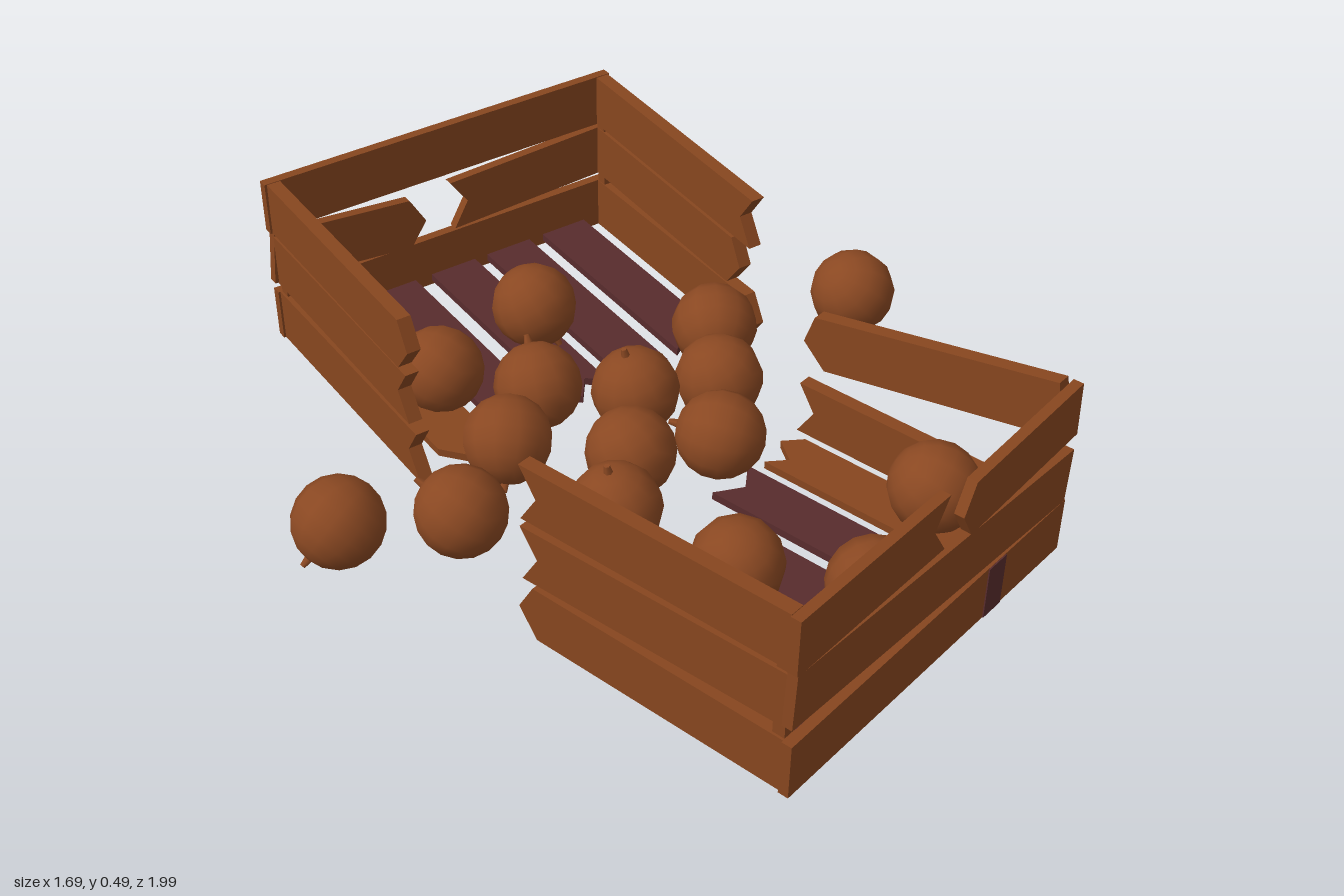
import * as THREE from 'three';

const mat = (name, color, opts = {}) => {
  const m = new THREE.MeshStandardMaterial({ color, ...opts });
  m.name = name;
  return m;
};

// End profiles: offsets along the board, from its lower to its upper edge
const FLAT = [0, 0];
const NOTCH = [0, -0.045, 0];
const POINT = [-0.05, 0, -0.04];
const SPLIT = [-0.02, 0.02, -0.04, 0];

export function createModel() {
  const model = new THREE.Group();
  model.name = 'brokenCrateWithFruit';
  const wood = mat('wood', 0x87461f, { flatShading: true });
  const darkWood = mat('dark wood', 0x582c2d, { flatShading: true });
  const skin = mat('fruit skin', 0x8a4822);

  // A plank running along +x, with a shaped end on each side
  function board(parent, name, material, o) {
    const { len, h = 0.14, t = 0.025, start = FLAT, end = FLAT, pos, yaw = 0, tilt = 0, lay = 0 } = o;
    const side = (cut, x) => cut.map((d, i) => new THREE.Vector2(x + d, h * (i / (cut.length - 1) - 0.5)));
    const shape = new THREE.Shape([...side(end, len), ...side(start, 0).reverse()]);
    const geo = new THREE.ExtrudeGeometry(shape, { depth: t, bevelEnabled: false });
    geo.translate(0, 0, -t / 2);
    const mesh = new THREE.Mesh(geo, material);
    mesh.name = name;
    mesh.position.set(...pos);
    mesh.rotation.set(lay, yaw, tilt, 'YXZ');
    parent.add(mesh);
  }

  // Half crate: end wall at z = 0, side walls and floor running towards -z
  function halfCrate(name, { endBoards, sides, floor }) {
    const g = new THREE.Group();
    g.name = name;
    for (const [x, y, len, tilt, start, end] of endBoards)
      board(g, 'endBoard', wood, { len, start, end, tilt, pos: [x, y, -0.0125] });
    for (const [s, y, len, tilt, end] of sides)
      board(g, 'sideBoard', wood, { len, end, tilt, t: 0.035, yaw: Math.PI / 2, pos: [s * 0.477, y, -0.025] });
    for (const [x, len, end, material] of floor)
      board(g, 'floorPlank', material, {
        len, end, h: 0.132, t: 0.02, yaw: Math.PI / 2, lay: -Math.PI / 2, pos: [x, 0.02, -0.025],
      });
    // Corner posts
    for (const s of [-1, 1]) {
      const post = new THREE.Mesh(new THREE.BoxGeometry(0.028, 0.43, 0.03), wood);
      post.name = 'cornerPost';
      post.position.set(s * 0.475, 0.225, -0.041);
      g.add(post);
    }
    model.add(g);
    return g;
  }

  const back = halfCrate('backHalfCrate', {
    endBoards: [
      [-0.5, 0.07, 1, 0, FLAT, FLAT],
      [-0.5, 0.235, 0.49, -0.04, FLAT, NOTCH],
      [0.07, 0.2, 0.43, 0.09, [0.04, 0, 0.05], FLAT],
      [-0.5, 0.385, 1, 0, FLAT, FLAT],
    ],
    sides: [
      [-1, 0.07, 0.71, 0, POINT],
      [-1, 0.235, 0.65, -0.035, POINT],
      [-1, 0.385, 0.69, -0.035, NOTCH],
      [1, 0.07, 0.7, 0, NOTCH],
      [1, 0.235, 0.67, -0.02, NOTCH],
      [1, 0.385, 0.69, -0.03, POINT],
    ],
    floor: [
      [-0.345, 0.64, NOTCH, darkWood],
      [-0.17, 0.7, POINT, darkWood],
      [0, 0.65, SPLIT, darkWood],
      [0.18, 0.61, NOTCH, darkWood],
      [0.35, 0.73, [-0.08, 0, -0.07], wood],
    ],
  });
  back.position.set(0.035, 0.02, -1);
  back.rotation.y = Math.PI;

  const front = halfCrate('frontHalfCrate', {
    endBoards: [
      [-0.5, 0.07, 1, 0, FLAT, FLAT],
      [-0.5, 0.258, 1, -0.048, FLAT, FLAT],
      [-0.5, 0.397, 0.49, 0, FLAT, NOTCH],
      [0.055, 0.365, 0.445, 0.06, [0.035, 0, 0.04], FLAT],
    ],
    sides: [
      [-1, 0.07, 0.7, 0, POINT],
      [-1, 0.245, 0.69, -0.03, NOTCH],
      [-1, 0.397, 0.69, -0.015, NOTCH],
      [1, 0.07, 0.68, 0, NOTCH],
      [1, 0.395, 0.69, -0.19, POINT],
    ],
    floor: [
      [-0.36, 0.64, SPLIT, darkWood],
      [-0.18, 0.65, POINT, darkWood],
      [0, 0.52, SPLIT, darkWood],
      [0.175, 0.66, NOTCH, darkWood],
      [0.345, 0.64, SPLIT, wood],
    ],
  });
  front.position.set(0.14, 0.02, 0.855);
  front.rotation.set(0, 0.268, -0.02, 'YXZ');

  // Dark patch wrapped over the lower front board
  const patch = new THREE.Mesh(new THREE.BoxGeometry(0.066, 0.138, 0.031), darkWood);
  patch.name = 'repairPatch';
  patch.position.set(0.225, 0.07, -0.0125);
  front.add(patch);

  // Fruit: x, y, z, then the direction of the stem
  const fruits = [
    [-0.29, 0.165, -0.46, -0.5, 0.5, -0.8], [0.035, 0.165, -0.56, 0.3, -0.8, 0.4],
    [-0.125, 0.155, -0.285, 0.1, 0.8, -0.5], [-0.29, 0.155, -0.15, -0.4, -0.6, 0.5],
    [0.05, 0.165, -0.13, -0.2, 1, -0.1], [0.365, 0.155, -0.25, 0.5, 0.3, -0.8],
    [0.74, 0.155, -0.175, 0.7, -0.75, 0.1], [-0.745, 0.155, -0.11, -0.8, -0.55, 0.1],
    [-0.505, 0.155, 0.01, -0.5, 0.5, -0.7], [0.25, 0.155, -0.07, 0.3, -0.9, 0.2],
    [-0.08, 0.155, 0.045, 0.2, -0.7, 0.6], [0.125, 0.155, 0.11, -0.6, 0.1, -0.7],
    [-0.22, 0.16, 0.195, -0.15, 1, -0.05], [-0.33, 0.18, 0.38, -0.25, 0.85, 0.4],
    [-0.11, 0.165, 0.495, 0.2, -0.9, -0.3], [-0.215, 0.175, 0.745, -0.15, 0.9, 0.35],
    [0.09, 0.165, 0.71, 0.8, 0.5, 0.25], [0.38, 0.19, 0.56, 0.5, -0.5, 0.6],
  ];
  const body = new THREE.SphereGeometry(0.106, 12, 9);
  const stemGeo = new THREE.CylinderGeometry(0.007, 0.012, 0.03, 6);
  const up = new THREE.Vector3(0, 1, 0);
  for (const [x, y, z, ...dir] of fruits) {
    const fruit = new THREE.Group();
    fruit.name = 'fruit';
    const ball = new THREE.Mesh(body, skin);
    ball.name = 'fruitBody';
    const stem = new THREE.Mesh(stemGeo, skin);
    stem.name = 'stem';
    stem.position.y = 0.109;
    fruit.add(ball, stem);
    fruit.position.set(x, y, z);
    fruit.quaternion.setFromUnitVectors(up, new THREE.Vector3(...dir).normalize());
    model.add(fruit);
  }
  return model;
}
